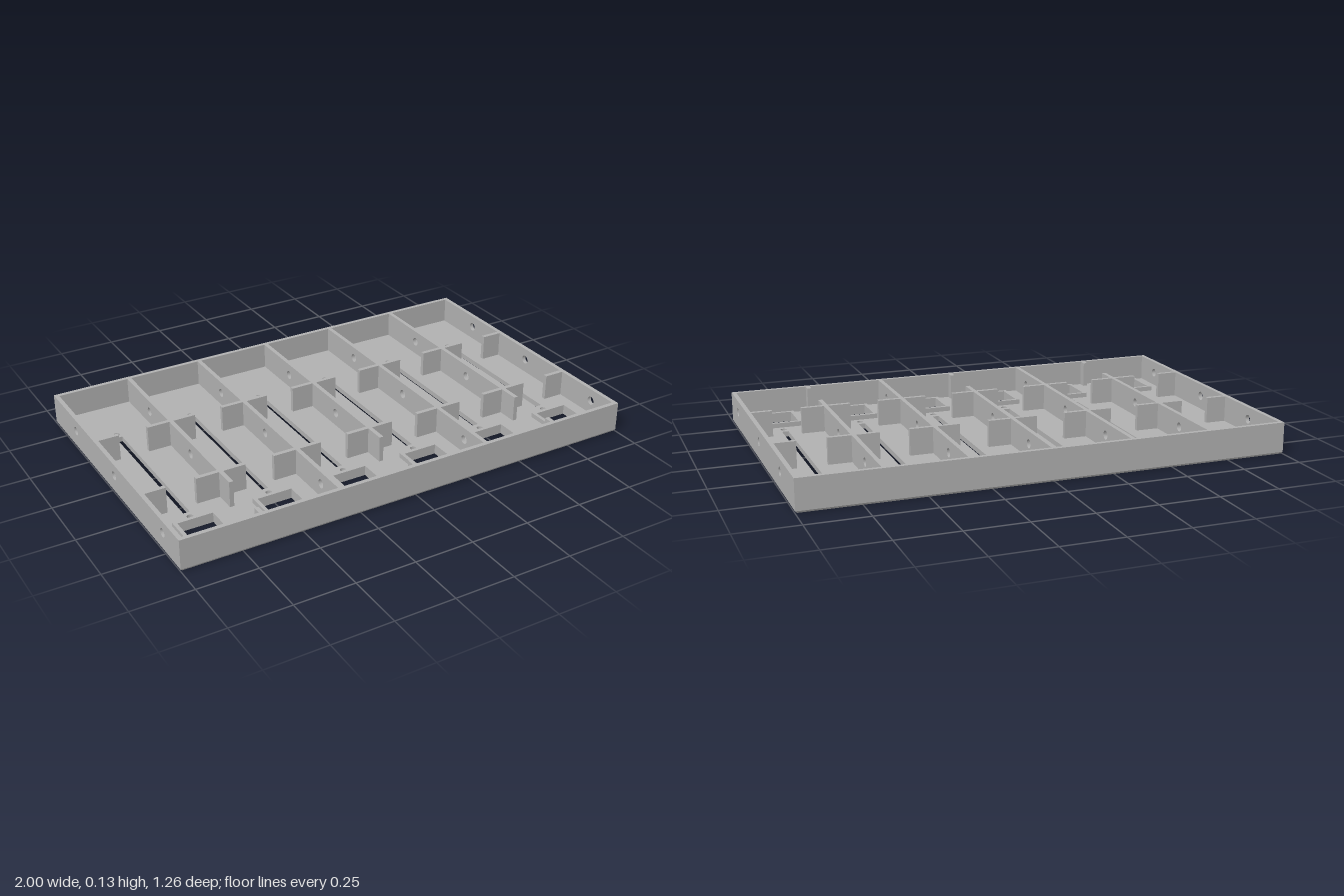
import * as THREE from 'three';

const W = 1, D = 0.628, H = 0.132, T = 0.018;   // half width, half depth, height, wall thickness
const FLOOR = 0.022, CHAMFER = 0.008;
const PITCH = 1 / 3, WINDOW_Z = 0.472;
const HOLES_Z = [0.48, 0.025, -0.38], HOLE_Y = 0.08, HOLE_R = 0.0185;

function rect(Type, x0, y0, x1, y1) {
  const p = new Type();
  p.moveTo(x0, y0);
  p.lineTo(x1, y0);
  p.lineTo(x1, y1);
  p.lineTo(x0, y1);
  p.closePath();
  return p;
}

function circle(x, y, r) {
  const p = new THREE.Path();
  p.absarc(x, y, r, 0, Math.PI * 2, true);
  return p;
}

export function createModel() {
  const tray = new THREE.Group();
  tray.name = 'tray';
  const grey = new THREE.MeshStandardMaterial({ color: 0xb0b0b0 });
  grey.name = 'grey plastic';

  const add = (name, geometry) => {
    const mesh = new THREE.Mesh(geometry, grey);
    mesh.name = name;
    tray.add(mesh);
  };
  const box = (name, x0, x1, y0, y1, z0, z1) => {
    const g = new THREE.BoxGeometry(x1 - x0, y1 - y0, z1 - z0);
    g.translate((x0 + x1) / 2, (y0 + y1) / 2, (z0 + z1) / 2);
    add(name, g);
  };
  // Horizontal plate: the shape's y becomes z
  const plate = (name, shape, y0, y1) => {
    const g = new THREE.ExtrudeGeometry(shape, { depth: y1 - y0, bevelEnabled: false, curveSegments: 10 });
    g.rotateX(Math.PI / 2).translate(0, y1, 0);
    add(name, g);
  };
  // Lengthwise wall centred on x, pierced by whichever cable holes it reaches
  const wall = (name, x, z0, z1, y0) => {
    const shape = rect(THREE.Shape, z0, y0, z1, H);
    for (const z of HOLES_Z) {
      if (z - HOLE_R > z0 && z + HOLE_R < z1) shape.holes.push(circle(z, HOLE_Y, HOLE_R));
    }
    const g = new THREE.ExtrudeGeometry(shape, { depth: T, bevelEnabled: false, curveSegments: 12 });
    g.rotateY(-Math.PI / 2).translate(x + T / 2, 0, 0);
    add(name, g);
  };

  const channels = [-2.5, -1.5, -0.5, 0.5, 1.5, 2.5].map((i) => i * PITCH);

  // Floor with a slot, two screw holes and a window in every channel
  const floor = rect(THREE.Shape, -W + CHAMFER, -D + CHAMFER, W - CHAMFER, D - CHAMFER);
  const inner = 0.073, outer = 0.088;
  for (const x of channels) {
    floor.holes.push(
      rect(THREE.Path, x - 0.0135, -0.34, x + 0.0135, 0.32),
      circle(x, -0.366, 0.013),
      circle(x, 0.351, 0.013),
      rect(THREE.Path, x - inner, WINDOW_Z - inner, x + inner, WINDOW_Z + inner),
    );
  }
  plate('floor', floor, 0, FLOOR);

  // Low raised frame round each window
  for (const x of channels) {
    const rim = rect(THREE.Shape, x - outer, WINDOW_Z - outer, x + outer, WINDOW_Z + outer);
    rim.holes.push(rect(THREE.Path, x - inner, WINDOW_Z - inner, x + inner, WINDOW_Z + inner));
    plate('windowRim', rim, FLOOR, 0.042);
  }

  // Outer walls
  for (const s of [-1, 1]) {
    wall('sideWall', s * (W - T / 2), -D, D, CHAMFER);
    const z = s * (D - T / 2);
    box(s > 0 ? 'frontWall' : 'backWall', -W + T, W - T, CHAMFER, H, z - T / 2, z + T / 2);
  }

  // Narrow chamfer under the outer walls
  const chamfer = new THREE.CylinderGeometry(Math.SQRT2, Math.SQRT2 * (1 - CHAMFER), CHAMFER, 4, 1, true)
    .rotateY(Math.PI / 4)
    .scale(W, 1, D)
    .translate(0, CHAMFER / 2, 0)
    .toNonIndexed();
  chamfer.computeVertexNormals();
  add('bottomChamfer', chamfer);

  // Dividers: every other one is interrupted beside the windows
  for (let i = -2; i <= 2; i++) {
    const x = i * PITCH;
    if (i % 2) {
      wall('fullDivider', x, -D + T, D - T, FLOOR);
    } else {
      wall('shortDivider', x, -D + T, 0.37, FLOOR);
      wall('dividerStub', x, 0.575, D - T, FLOOR);
    }
  }

  // Cross ribs reaching out from both sides of the dividers and in from the side walls
  for (const z of [-0.18, 0.275]) {
    for (let i = -3; i <= 3; i++) {
      for (const s of [-1, 1]) {
        if (i * s === 3) continue;
        const a = i * PITCH + s * (Math.abs(i) === 3 ? T : T / 2);
        const b = i * PITCH + s * 0.105;
        box('crossRib', Math.min(a, b), Math.max(a, b), FLOOR, H, z - T / 2, z + T / 2);
      }
    }
  }
  return tray;
}
